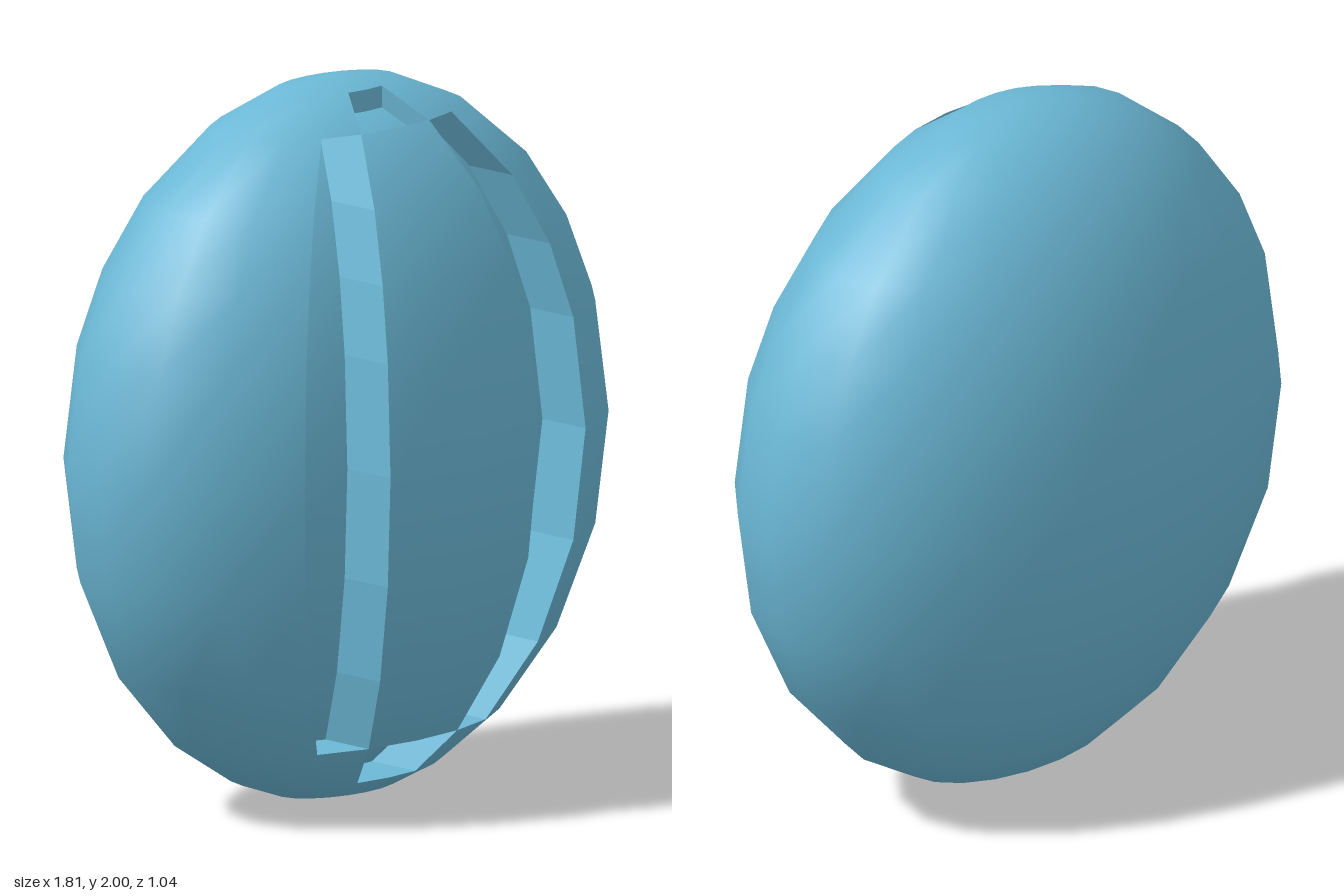
import * as THREE from 'three';

// Half sizes of the flattened egg-like body
const RX = 0.905, RY = 1, RZ = 0.522;
// Heights of the rings, measured from the centre
const ROWS = [-1, -0.974, -0.92, -0.8, -0.588, -0.309, 0, 0.309, 0.515, 0.707, 0.887, 0.974, 1];
const SIDES = 20;
const BOTTOM_ROW = 2, FIRST_ROW = 3, LAST_ROW = 9, TOP_ROW = 10;

const point = (col, row) => {
  const a = (col / SIDES) * Math.PI * 2;
  const h = ROWS[row];
  const r = Math.sqrt(Math.max(0, 1 - h * h));
  return new THREE.Vector3(RX * r * Math.sin(a), RY * h, RZ * r * Math.cos(a));
};
const normalAt = (p) =>
  new THREE.Vector3(p.x / RX ** 2, p.y / RY ** 2, p.z / RZ ** 2).normalize();

// How far a cell of the surface is pushed in; column 0 starts at the front centre
const FLAT = new THREE.Vector3();
const BACK = new THREE.Vector3(0, 0, -0.167);
const DOWN = new THREE.Vector3(0, -0.06, 0);
function offset(col, row) {
  const c = ((col + SIDES / 2) % SIDES) - SIDES / 2;
  const centre = c === 0 || c === -1;
  const side = c === 1 || c === -2;
  if (side && row >= FIRST_ROW && row <= LAST_ROW) return BACK;
  if (centre && row === BOTTOM_ROW) return BACK;
  if (centre && row === TOP_ROW) return DOWN;
  return FLAT;
}

// Collects quads, with smooth normals if given and flat ones if not
class Surface {
  constructor() { this.pos = []; this.nor = []; }
  quad(corners, normals) {
    for (const tri of [[0, 1, 2], [0, 2, 3]]) {
      const [a, b, c] = tri.map((i) => corners[i]);
      const flat = b.clone().sub(a).cross(c.clone().sub(a));
      if (flat.length() < 1e-9) continue;
      flat.normalize();
      for (const i of tri) {
        this.pos.push(...corners[i].toArray());
        this.nor.push(...(normals ? normals[i] : flat).toArray());
      }
    }
  }
  mesh(name, material) {
    const g = new THREE.BufferGeometry();
    g.setAttribute('position', new THREE.Float32BufferAttribute(this.pos, 3));
    g.setAttribute('normal', new THREE.Float32BufferAttribute(this.nor, 3));
    const m = new THREE.Mesh(g, material);
    m.name = name;
    return m;
  }
}

export function createModel() {
  const group = new THREE.Group();
  group.name = 'groovedShell';
  const shell = new Surface(), floors = new Surface(), walls = new Surface();

  // Wall along the edge p-q, between two cells at different depths
  const wall = (p, q, from, to) => {
    if (from === to) return;
    walls.quad([p.clone().add(from), q.clone().add(from), q.clone().add(to), p.clone().add(to)]);
  };

  for (let row = 0; row < ROWS.length - 1; row++) {
    for (let col = 0; col < SIDES; col++) {
      const here = offset(col, row);
      const corners = [point(col, row), point(col + 1, row), point(col + 1, row + 1), point(col, row + 1)];
      const target = here === FLAT ? shell : floors;
      target.quad(corners.map((p) => p.clone().add(here)), corners.map(normalAt));
      // Groove walls, flipped so that they face into the groove
      wall(corners[1], corners[2], here, offset(col + 1, row));
      if (row < ROWS.length - 2) wall(corners[2], corners[3], here, offset(col, row + 1));
    }
  }

  const blue = new THREE.MeshStandardMaterial({ color: 0x6bb8d6 });
  const blueThin = new THREE.MeshStandardMaterial({ color: 0x6bb8d6, side: THREE.DoubleSide });
  group.add(
    shell.mesh('shell', blue),
    floors.mesh('grooveFloor', blue),
    walls.mesh('grooveWalls', blueThin),
  );
  group.position.y = RY;
  const root = new THREE.Group();
  root.add(group);
  return root;
}
